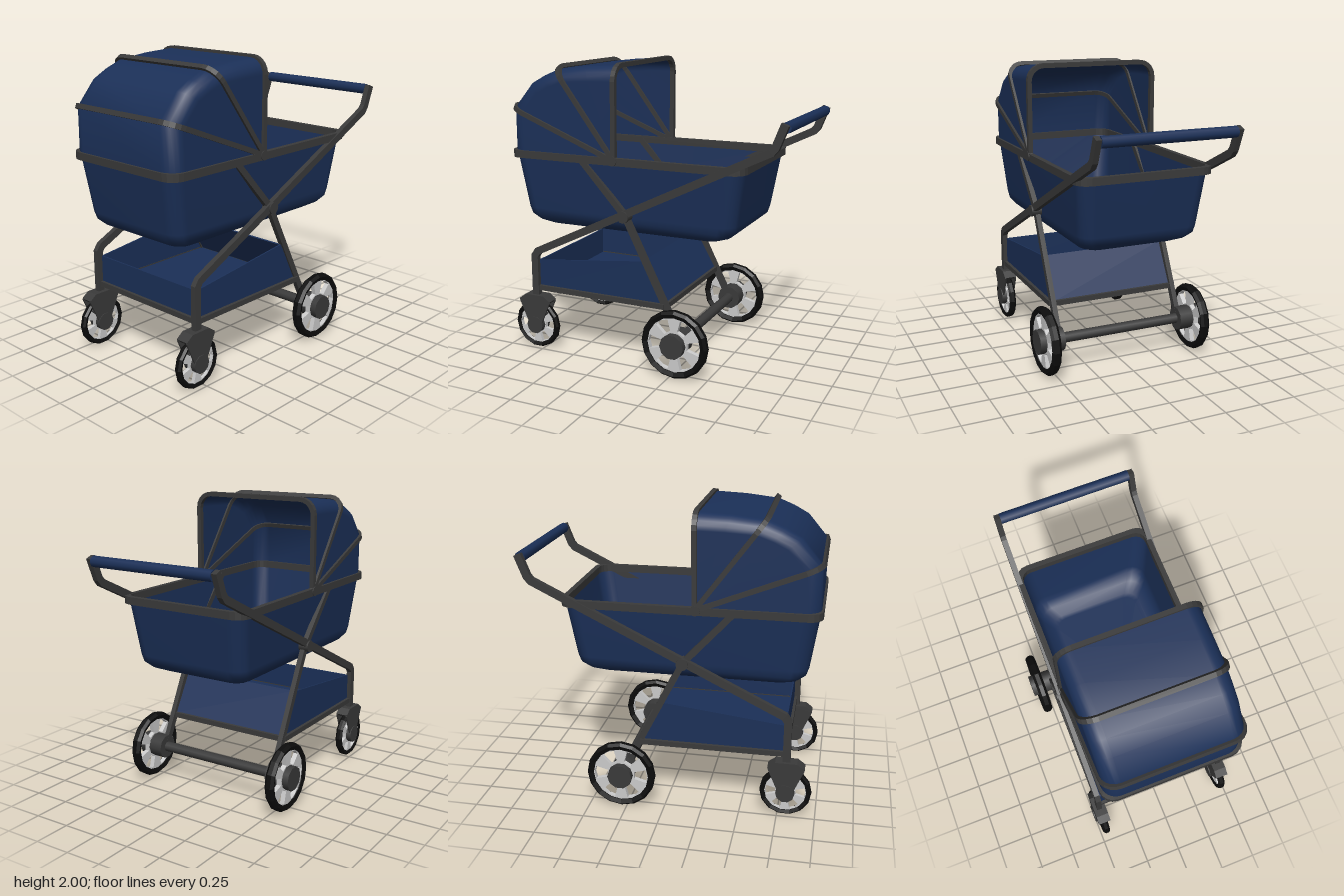
import * as THREE from 'three';

const frameMat = new THREE.MeshStandardMaterial({ color: 0x3a3a3a });
const clothMat = new THREE.MeshStandardMaterial({ color: 0x1b3058, side: THREE.DoubleSide });
const tyreMat = new THREE.MeshStandardMaterial({ color: 0x0c0c0c, flatShading: true });
const rimMat = new THREE.MeshStandardMaterial({ color: 0xcccccc });

export function createModel() {
  const root = new THREE.Group();
  root.name = 'pram';

  const add = (name, geo, mat, x = 0, y = 0, z = 0, parent = root) => {
    const m = new THREE.Mesh(geo, mat);
    m.name = name;
    m.position.set(x, y, z);
    parent.add(m);
    return m;
  };
  const sides = (fn) => [['left', 1], ['right', -1]].forEach(([n, s]) => fn(n, s));

  // Outline of a mitred strip of width w along a 2D polyline
  const stroke = (pts, w) => {
    const p = pts.map(([a, b]) => new THREE.Vector2(a, b));
    const left = [], right = [];
    p.forEach((c, i) => {
      const d1 = c.clone().sub(p[Math.max(i - 1, 0)]).normalize();
      const d2 = p[Math.min(i + 1, p.length - 1)].clone().sub(c).normalize();
      const dir = d1.clone().add(d2).normalize();
      const ref = i === 0 ? d2 : d1;
      const n = new THREE.Vector2(-dir.y, dir.x).multiplyScalar(w / 2 / dir.dot(ref));
      left.push(c.clone().add(n));
      right.unshift(c.clone().sub(n));
    });
    return new THREE.Shape([...left, ...right]);
  };
  const extrude = (shape, depth) => new THREE.ExtrudeGeometry(shape, { depth, bevelEnabled: false, curveSegments: 4 })
    .translate(0, 0, -depth / 2);
  // Shapes drawn as (z, y), given thickness along x
  const sideways = (shape, depth) => extrude(shape, depth).rotateY(-Math.PI / 2);
  const polygon = (pts) => new THREE.Shape(pts.map(([a, b]) => new THREE.Vector2(a, b)));
  const axleCyl = (r, len, n) => new THREE.CylinderGeometry(r, r, len, n).rotateZ(Math.PI / 2);

  // Surface through a list of equally long loops
  const loft = (loops, closed) => {
    const n = loops[0].length, index = [];
    for (let j = 0; j < loops.length - 1; j++) {
      for (let i = 0; i < (closed ? n : n - 1); i++) {
        const k = (i + 1) % n, a = j * n + i, b = j * n + k;
        index.push(a, b, a + n, b, b + n, a + n);
      }
    }
    const g = new THREE.BufferGeometry();
    g.setAttribute('position', new THREE.Float32BufferAttribute(loops.flat(2), 3));
    g.setIndex(index);
    g.computeVertexNormals();
    return g;
  };

  // Rounded rectangle in (x, z)
  const roundRect = (hw, z0, z1, r) => {
    const pts = [];
    [[hw - r, z1 - r], [r - hw, z1 - r], [r - hw, z0 + r], [hw - r, z0 + r]].forEach(([cx, cz], q) => {
      for (let i = 0; i <= 4; i++) {
        const a = (q + i / 4) * Math.PI / 2;
        pts.push([cx + r * Math.cos(a), cz + r * Math.sin(a)]);
      }
    });
    return pts;
  };

  // Carrycot: tapered tub with rounded bottom
  const tub = [
    [1.38, 0.452, -0.685, 0.965, 0.1], [1.0, 0.417, -0.622, 0.908, 0.1], [0.95, 0.408, -0.608, 0.893, 0.1],
    [0.91, 0.375, -0.56, 0.85, 0.09], [0.88, 0.32, -0.49, 0.785, 0.08], [0.878, 0.29, -0.46, 0.755, 0.07],
    [0.878, 0.001, 0.1, 0.102, 0.0005],
  ].map(([y, hw, z0, z1, r]) => roundRect(hw, z0, z1, r).map(([x, z]) => [x, y, z]));
  add('carrycot', loft(tub, true), clothMat);

  // Rim around the carrycot
  const rim = polygon(roundRect(0.472, -0.7, 0.982, 0.09));
  rim.holes.push(polygon(roundRect(0.437, -0.665, 0.947, 0.07)));
  add('carrycotRim', extrude(rim, 0.05).rotateX(Math.PI / 2), frameMat, 0, 1.375, 0);

  // Hood: rounded arches fanned about a pivot
  const pivot = [1.38, 0.185];
  const arch = (hw, len, r = 0.1) => {
    const half = [[hw, 0]];
    for (let i = 0; i <= 5; i++) {
      const a = i / 5 * Math.PI / 2;
      half.push([hw - r + r * Math.cos(a), len - r + r * Math.sin(a)]);
    }
    return [...half, ...half.map(([x, s]) => [-x, s]).reverse()];
  };
  const hood = [[0.18, 1.985], [0.4, 1.975], [0.62, 1.95], [0.73, 1.905], [0.83, 1.85], [0.965, 1.69], [0.968, 1.38]]
    .map(([z, y]) => {
      const dy = y - pivot[0], dz = z - pivot[1], len = Math.hypot(dy, dz);
      return arch(0.455, len).map(([x, s]) => [x, pivot[0] + s * dy / len, pivot[1] + s * dz / len]);
    });
  add('hood', loft(hood, false), clothMat);
  [[0.18, 1.985], [0.615, 1.96], [0.962, 1.69]].forEach(([z, y], i) => {
    const dy = y - pivot[0], dz = z - pivot[1];
    const geo = extrude(stroke(arch(0.457, Math.hypot(dy, dz)), 0.03), 0.032).rotateX(Math.atan2(dz, dy));
    add('hoodRib' + (i + 1), geo, frameMat, 0, pivot[0], pivot[1]);
  });

  // Push handle grip
  add('handleGrip', axleCyl(0.036, 0.89, 8), clothMat, 0, 1.66, -0.95);

  // Shopping basket cloth and frame
  const cloth = (pts, name) => add(name, sideways(stroke(pts, 0.01), 0.89), clothMat);
  cloth([[0.78, 0.45], [0.78, 0.64]], 'basketFront');
  cloth([[-0.17, 0.45], [-0.01, 0.73]], 'basketBack');
  cloth([[0.78, 0.45], [-0.17, 0.45]], 'basketFloor');
  [0.79, -0.175].forEach((z, i) =>
    add(i ? 'basketRearBar' : 'basketFrontBar', new THREE.BoxGeometry(0.92, 0.035, 0.03), frameMat, 0, 0.445, z));

  // Rear axle
  add('rearAxle', axleCyl(0.035, 0.92, 10), frameMat, 0, 0.235, -0.285);

  // Wheel: faceted tyre, six-window rim and hub
  const wheel = (name, x, y, z, R, w, n, hubR, hubLen, hubX) => {
    const g = new THREE.Group();
    g.name = name;
    g.position.set(x, y, z);
    root.add(g);
    const r = R * 0.81, h = w / 2;
    const profile = [[r, -h * 0.7], [R * 0.93, -h], [R, -h * 0.45], [R, h * 0.45], [R * 0.93, h], [r, h * 0.7], [r, -h * 0.7]];
    add('tyre', new THREE.LatheGeometry(profile.map(([a, b]) => new THREE.Vector2(a, b)), n).rotateZ(Math.PI / 2),
      tyreMat, 0, 0, 0, g);
    const disc = new THREE.Shape().absarc(0, 0, r * 1.03, 0, Math.PI * 2);
    for (let i = 0; i < 6; i++) {
      const a = i * Math.PI / 3, d = 0.27;
      const corner = (q, t) => [q * Math.cos(a + t), q * Math.sin(a + t)];
      disc.holes.push(polygon([corner(r * 0.5, -d), corner(r * 0.94, -d), corner(r * 0.97, 0), corner(r * 0.94, d), corner(r * 0.5, d)]));
    }
    const geo = new THREE.ExtrudeGeometry(disc, { depth: w * 0.5, bevelEnabled: false, curveSegments: n })
      .translate(0, 0, -w * 0.25).rotateY(-Math.PI / 2);
    add('rim', geo, rimMat, 0, 0, 0, g);
    add('hub', axleCyl(hubR, hubLen, 10), frameMat, hubX, 0, 0, g);
  };

  sides((n, s) => {
    // Handle tube running down into the front leg
    const tube = [[0.8, 0.38], [0.8, 0.675], [0.775, 0.71], [-0.875, 1.515], [-0.9, 1.545], [-0.955, 1.685]];
    add(n + 'HandleTube', sideways(stroke(tube, 0.05), 0.036), frameMat, s * 0.463, 0, 0);
    // Rear leg crossing up to the carrycot rim
    const leg = [[0.43, 1.37], [0.11, 1.02], [-0.285, 0.235]];
    add(n + 'RearLeg', sideways(stroke(leg, 0.042), 0.034), frameMat, s * 0.447, 0, 0);
    add(n + 'FoldingPivot', axleCyl(0.04, 0.07, 12), frameMat, s * 0.456, 1.02, 0.11);
    add(n + 'HoodPivot', axleCyl(0.033, 0.03, 12), frameMat, s * 0.462, 1.38, 0.19);

    // Basket side and lower rail
    const panel = polygon([[0.78, 0.45], [0.78, 0.64], [-0.01, 0.73], [-0.17, 0.45]]);
    add(n + 'BasketSide', sideways(panel, 0.01), clothMat, s * 0.447, 0, 0);
    add(n + 'BasketRail', new THREE.BoxGeometry(0.034, 0.035, 0.97), frameMat, s * 0.457, 0.445, 0.31);

    // Front caster fork: two cheeks and a cover
    const cheek = polygon([[0.92, 0.35], [0.87, 0.395], [0.73, 0.395], [0.68, 0.35], [0.745, 0.2], [0.855, 0.2]]);
    [-1, 1].forEach((k) => add(n + 'ForkCheek', sideways(cheek, 0.012), frameMat, s * 0.46 + k * 0.038, 0, 0));
    const cover = [[0.915, 0.35], [0.868, 0.385], [0.732, 0.385], [0.685, 0.35]];
    add(n + 'ForkCover', sideways(stroke(cover, 0.02), 0.088), frameMat, s * 0.46, 0, 0);

    wheel(n + 'FrontWheel', s * 0.46, 0.177, 0.8, 0.17, 0.05, 14, 0.062, 0.1, 0);
    wheel(n + 'RearWheel', s * 0.545, 0.235, -0.287, 0.23, 0.066, 16, 0.083, 0.175, -s * 0.027);
  });

  return root;
}
